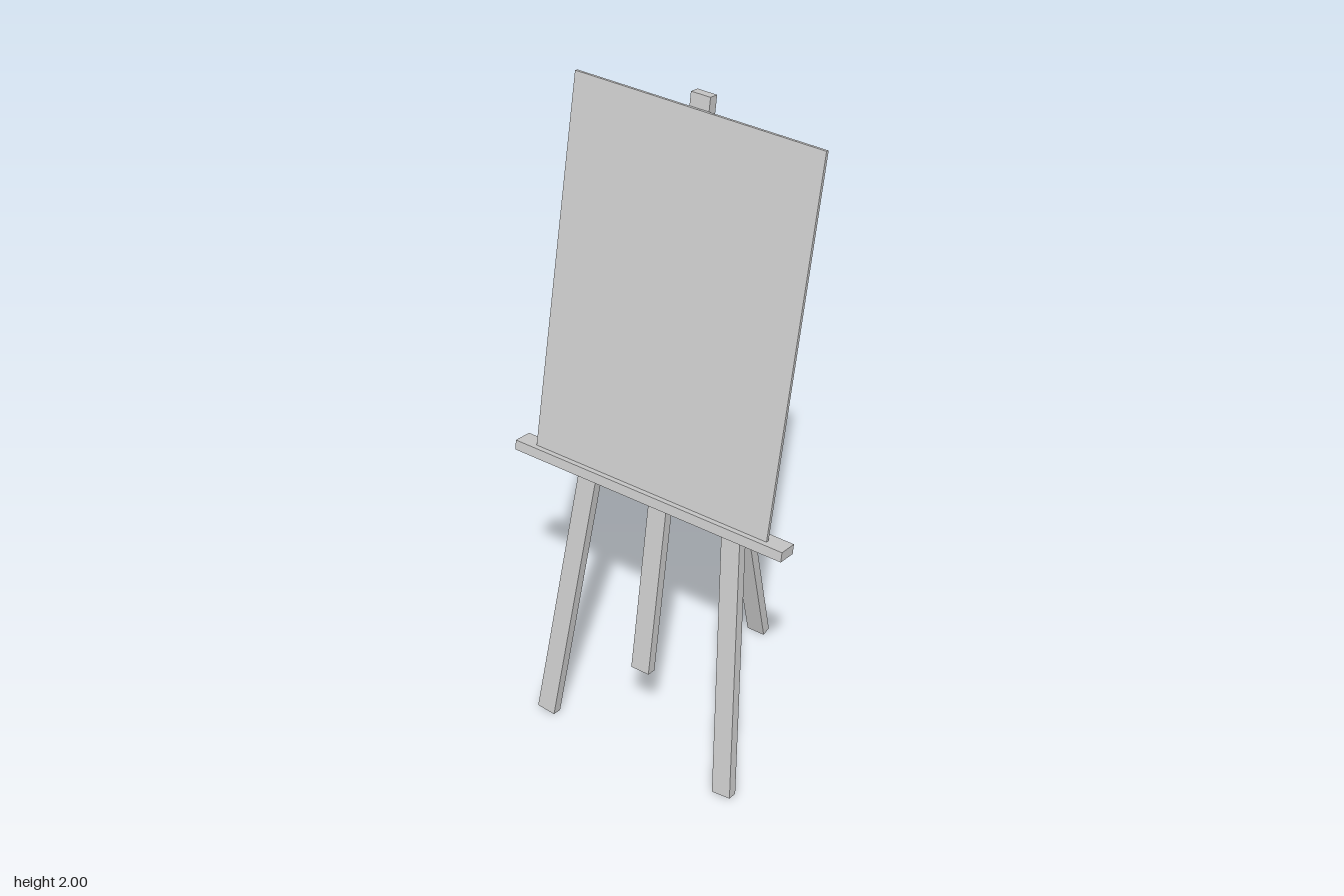
import * as THREE from 'three';

const material = new THREE.MeshStandardMaterial({ color: 0xcccccc, flatShading: true });

// Rectangular bar running between two end centres, its broad face turned to the front
function bar(name, start, end, width, thickness) {
  const a = new THREE.Vector3(...start);
  const b = new THREE.Vector3(...end);
  const along = b.clone().sub(a);
  const length = along.length();
  along.normalize();
  const front = new THREE.Vector3(1, 0, 0).cross(along).normalize();
  const side = along.clone().cross(front);
  const mesh = new THREE.Mesh(new THREE.BoxGeometry(width, length, thickness), material);
  mesh.quaternion.setFromRotationMatrix(new THREE.Matrix4().makeBasis(side, along, front));
  mesh.position.copy(a).add(b).multiplyScalar(0.5);
  mesh.name = name;
  return mesh;
}

export function createModel() {
  const easel = new THREE.Group();
  easel.name = 'easel';

  // Central post, leaning back
  easel.add(bar('centrePost', [0, 0.285, 0.28], [0, 1.997, -0.027], 0.06, 0.03));

  // Splayed front legs, in the same plane as the post
  for (const [name, s] of [['leftFrontLeg', 1], ['rightFrontLeg', -1]]) {
    easel.add(bar(name, [s * 0.315, 0.006, 0.329], [s * 0.163, 1.712, 0.022], 0.06, 0.03));
  }

  // Rear prop leg, meeting the post near its top
  easel.add(bar('rearLeg', [0, 0.003, -0.332], [0, 1.715, 0.021], 0.06, 0.03));

  // Ledge, tilted with the post
  const ledge = new THREE.Mesh(new THREE.BoxGeometry(0.89, 0.03, 0.06), material);
  ledge.name = 'ledge';
  ledge.position.set(0, 0.88, 0.23);
  ledge.rotation.x = -THREE.MathUtils.degToRad(10);
  easel.add(ledge);

  // Thin canvas resting on the ledge and leaning on the post
  easel.add(bar('canvas', [0, 0.895, 0.235], [0, 1.963, 0], 0.77, 0.01));

  return easel;
}
